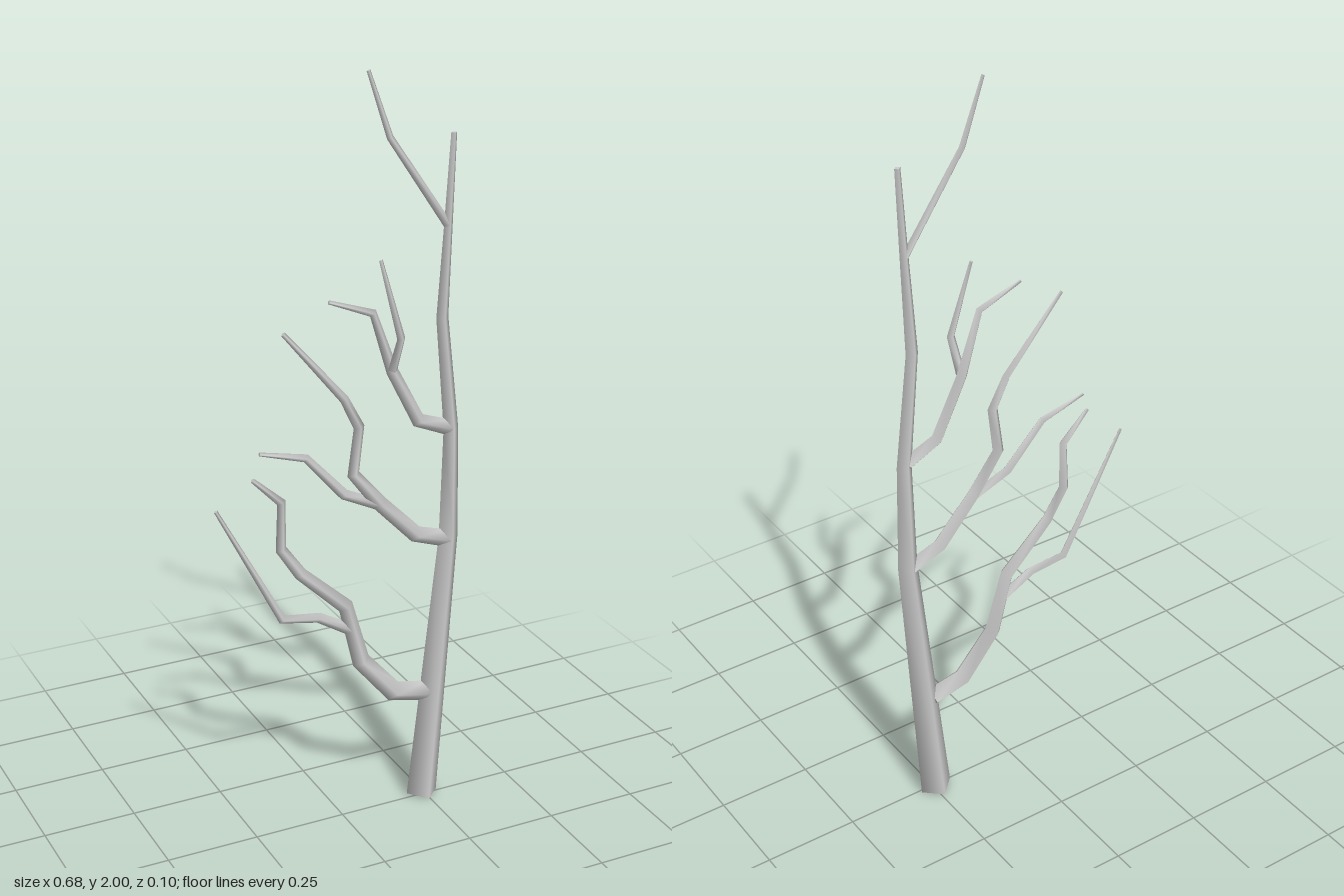
import * as THREE from 'three';

const SIDES = 4;
const material = new THREE.MeshStandardMaterial({ color: 0xcccccc });

// Tapered limb swept through points [x, y, z, radius], closed at both ends
function limb(name, points) {
  const centres = points.map(([x, y, z]) => new THREE.Vector3(x, y, z));
  const positions = [], index = [], last = points.length - 1;

  centres.forEach((c, i) => {
    // Ring lies across the average direction of its two neighbours
    const t = new THREE.Vector3();
    if (i > 0) t.add(c.clone().sub(centres[i - 1]).normalize());
    if (i < last) t.add(centres[i + 1].clone().sub(c).normalize());
    t.normalize();
    const b = new THREE.Vector3(0, 0, 1).addScaledVector(t, -t.z).normalize();
    const n = b.clone().cross(t);
    for (let s = 0; s < SIDES; s++) {
      const a = (s / SIDES) * Math.PI * 2, r = points[i][3];
      const p = c.clone().addScaledVector(n, r * Math.cos(a)).addScaledVector(b, r * Math.sin(a));
      positions.push(p.x, p.y, p.z);
    }
  });

  for (let i = 0; i < last; i++) {
    for (let s = 0; s < SIDES; s++) {
      const a = i * SIDES + s, b = i * SIDES + ((s + 1) % SIDES);
      index.push(a, b, a + SIDES, b, b + SIDES, a + SIDES);
    }
  }

  // End caps use their own vertices so the rims stay sharp
  for (const ring of [0, last]) {
    const start = positions.length / 3;
    positions.push(...positions.slice(ring * SIDES * 3, (ring + 1) * SIDES * 3));
    for (let s = 1; s < SIDES - 1; s++) {
      if (ring === 0) index.push(start, start + s + 1, start + s);
      else index.push(start, start + s, start + s + 1);
    }
  }

  const geometry = new THREE.BufferGeometry();
  geometry.setAttribute('position', new THREE.Float32BufferAttribute(positions, 3));
  geometry.setIndex(index);
  geometry.computeVertexNormals();
  const mesh = new THREE.Mesh(geometry, material);
  mesh.name = name;
  return mesh;
}

export function createModel() {
  const group = new THREE.Group();
  group.name = 'bareTree';

  group.add(
    limb('trunk', [
      [0.243, 0.005, -0.008, 0.045], [0.31, 0.76, -0.009, 0.028], [0.311, 1.06, -0.009, 0.021],
      [0.279, 1.36, -0.007, 0.017], [0.279, 1.6, 0.014, 0.012], [0.291, 1.83, 0.012, 0.008],
    ]),
    limb('topBranch', [
      [0.28, 1.6, 0.014, 0.011], [0.119, 1.835, 0.012, 0.009], [0.063, 1.998, 0.008, 0.005],
    ]),

    // Lower branch and its side twig
    limb('lowerBranch', [
      [0.25, 0.315, -0.008, 0.029], [0.153, 0.337, -0.008, 0.028], [0.057, 0.45, -0.008, 0.025],
      [0.015, 0.615, -0.012, 0.021], [-0.113, 0.735, -0.01, 0.017], [-0.167, 0.815, -0.008, 0.015],
      [-0.167, 0.945, -0.003, 0.012], [-0.245, 1.02, 0.001, 0.006],
    ]),
    limb('lowerTwig', [
      [0.03, 0.545, -0.01, 0.016], [-0.06, 0.597, -0.016, 0.014],
      [-0.16, 0.611, -0.022, 0.012], [-0.333, 0.943, -0.026, 0.005],
    ]),

    // Middle branch and its side twig
    limb('middleBranch', [
      [0.305, 0.752, -0.008, 0.024], [0.212, 0.783, -0.005, 0.022], [0.105, 0.892, 0.002, 0.02],
      [0.026, 0.99, 0.008, 0.017], [0.04, 1.115, 0.011, 0.015],
      [0, 1.195, 0.01, 0.012], [-0.16, 1.385, 0.004, 0.006],
    ]),
    limb('middleTwig', [
      [0.105, 0.888, 0, 0.015], [0.008, 0.932, -0.007, 0.014],
      [-0.095, 1.047, -0.012, 0.011], [-0.22, 1.08, -0.012, 0.005],
    ]),

    // Upper branch and its side twig
    limb('upperBranch', [
      [0.305, 1.062, -0.008, 0.021], [0.214, 1.098, -0.004, 0.019], [0.135, 1.245, 0.003, 0.016],
      [0.078, 1.405, 0.009, 0.011], [-0.04, 1.449, 0.007, 0.005],
    ]),
    limb('upperTwig', [
      [0.133, 1.25, 0.01, 0.013], [0.14, 1.34, 0.04, 0.011], [0.095, 1.538, 0.016, 0.005],
    ]),
  );
  return group;
}
